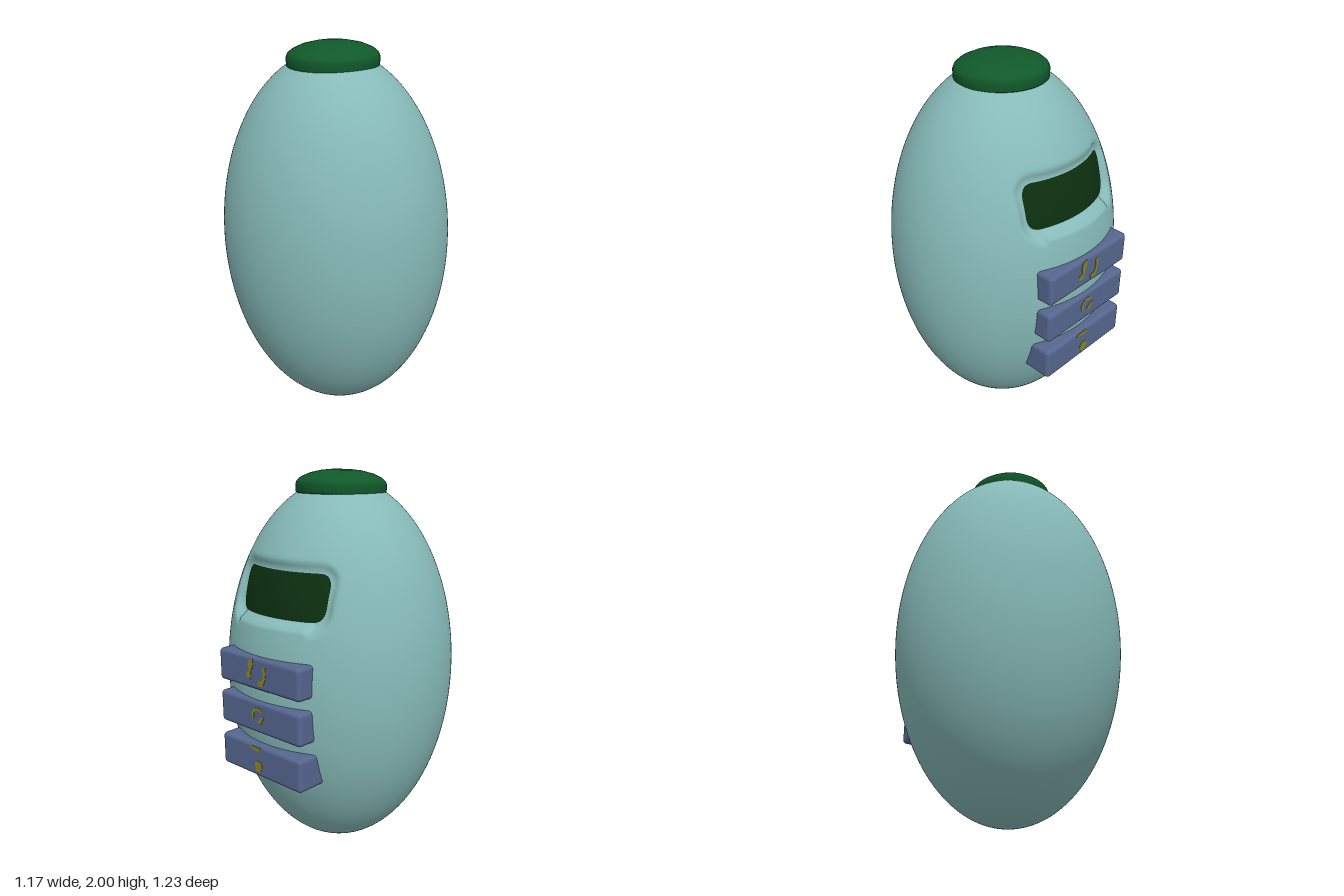
import * as THREE from 'three';
import { mergeVertices } from 'three/addons/utils/BufferGeometryUtils.js';
import { RoundedBoxGeometry } from 'three/addons/geometries/RoundedBoxGeometry.js';

const RX = 0.577, RY = 0.98, RZ = 0.615, CY = 0.98;
const lean = (y) => -0.01 - 0.018 * (y - CY);
const smooth = THREE.MathUtils.smoothstep;

// Height of the egg's +x surface above the yz plane
const surfaceX = (y, z) =>
  RX * Math.sqrt(Math.max(0, 1 - ((y - CY) / RY) ** 2 - (z / RZ) ** 2)) + lean(y);

// Depth of the window recess: a rounded rectangle, soft above and crisp below
function recess(y, z) {
  const r = 0.06;
  const dz = Math.abs(z + 0.01) - 0.285 + r;
  const dy = Math.abs(y - 1.428) - 0.122 + r;
  const d = Math.hypot(Math.max(dz, 0), Math.max(dy, 0)) + Math.min(Math.max(dz, dy), 0) - r;
  const width = y < 1.4 && dz < 0 ? 0.015 : 0.05;
  const depth = THREE.MathUtils.clamp(0.055 - 0.1 * (y - 1.3), 0.025, 0.055);
  return depth * (1 - smooth(d, -0.005, width));
}

function eggGeometry() {
  const sphere = new THREE.SphereGeometry(1, 220, 170);
  sphere.deleteAttribute('uv');
  sphere.deleteAttribute('normal');
  const geo = mergeVertices(sphere, 1e-5);
  const p = geo.attributes.position;
  for (let i = 0; i < p.count; i++) {
    const y = CY + RY * p.getY(i), z = RZ * p.getZ(i);
    let x = RX * p.getX(i) + lean(y);
    if (x > 0.1) x -= recess(y, z);
    p.setXYZ(i, x, y, z);
  }
  geo.computeVertexNormals();
  return geo;
}

// Dark pane following the recess floor, with rounded corners
function paneGeometry() {
  const geo = new THREE.PlaneGeometry(2, 2, 48, 24);
  const p = geo.attributes.position;
  for (let i = 0; i < p.count; i++) {
    const v = p.getY(i);
    const y = 1.428 + 0.112 * v;
    const corner = Math.max(0, Math.abs(v) - 0.4) / 0.6;
    const half = 0.277 - 0.045 * (1 - Math.sqrt(1 - corner * corner));
    const z = -0.01 - half * p.getX(i);
    p.setXYZ(i, surfaceX(y, z) - recess(y, z) + 0.004, y, z);
  }
  geo.computeVertexNormals();
  return geo;
}

export function createModel() {
  const model = new THREE.Group();
  const mat = {};
  const colours = { shell: 0x86bab8, cap: 0x10592a, pane: 0x0c3010, bar: 0x55668f, mark: 0x8a8420 };
  for (const [name, color] of Object.entries(colours)) {
    mat[name] = new THREE.MeshStandardMaterial({ color });
    mat[name].name = name + 'Colour';
  }
  mat.pane.side = THREE.DoubleSide;

  const add = (name, geo, material, x = 0, y = 0, z = 0) => {
    const mesh = new THREE.Mesh(geo, material);
    mesh.name = name;
    mesh.position.set(x, y, z);
    model.add(mesh);
    return mesh;
  };

  add('eggBody', eggGeometry(), mat.shell);
  add('windowPane', paneGeometry(), mat.pane);

  // Domed cap, slightly tilted
  const profile = [[0, 0], [0.225, 0], [0.232, 0.006], [0.233, 0.045], [0.226, 0.062], [0.205, 0.08],
    [0.16, 0.1], [0.1, 0.114], [0.05, 0.119], [0, 0.12]].map(([x, y]) => new THREE.Vector2(x, y));
  add('cap', new THREE.LatheGeometry(profile, 64), mat.cap, -0.025, 1.88, 0).rotation.z = 0.025;

  // Three bars set into the side
  [[0.97, 1.135], [0.745, 0.912], [0.508, 0.678]].forEach(([low, high], i) => {
    add('sideBar' + (i + 1), new RoundedBoxGeometry(0.29, high - low, 0.57, 4, 0.02),
      mat.bar, 0.44, (low + high) / 2, -0.004);
  });

  // Small painted patches on the bars, outlined across and up from each centre
  const patch = (name, points, y, z) => {
    const shape = new THREE.Shape(points.map(([a, b]) => new THREE.Vector2(a, b)));
    const geo = new THREE.ExtrudeGeometry(shape, { depth: 0.004, bevelEnabled: false });
    add(name, geo, mat.mark, 0.583, y, z).rotation.y = Math.PI / 2;
  };
  patch('upperPatchA', [[-0.025, -0.045], [0.005, -0.05], [0.012, -0.01], [0.03, 0.03], [0.025, 0.055],
    [0.0, 0.05], [-0.01, 0.02], [-0.005, -0.015], [-0.025, -0.02]], 1.07, 0.05);
  patch('upperPatchB', [[-0.03, -0.055], [0.005, -0.05], [0.02, -0.02], [0.028, 0.02], [0.022, 0.05],
    [0.002, 0.045], [0.008, 0.01], [-0.005, -0.025], [-0.03, -0.03]], 1.048, -0.04);
  const arc = [];
  for (let i = 0; i <= 12; i++) arc.push([0.045, 0.7 + i * 0.25]);
  for (let i = 12; i >= 0; i--) arc.push([0.029, 0.7 + i * 0.25]);
  patch('middlePatchA', arc.map(([r, a]) => [r * Math.cos(a), r * Math.sin(a)]), 0.835, 0);
  patch('middlePatchB', [[-0.015, -0.02], [0.01, -0.03], [0.025, -0.005], [0.035, 0.015], [0.01, 0.008]], 0.825, -0.01);
  patch('lowerPatchA', [[-0.04, 0], [0.02, -0.012], [0.04, 0], [0.04, 0.012], [-0.03, 0.01]], 0.655, 0.028);
  patch('lowerPatchB', [[-0.02, -0.03], [0.01, -0.03], [0.028, -0.005], [0.02, 0.025], [-0.012, 0.03],
    [-0.028, 0.01]], 0.565, 0.005);
  return model;
}
